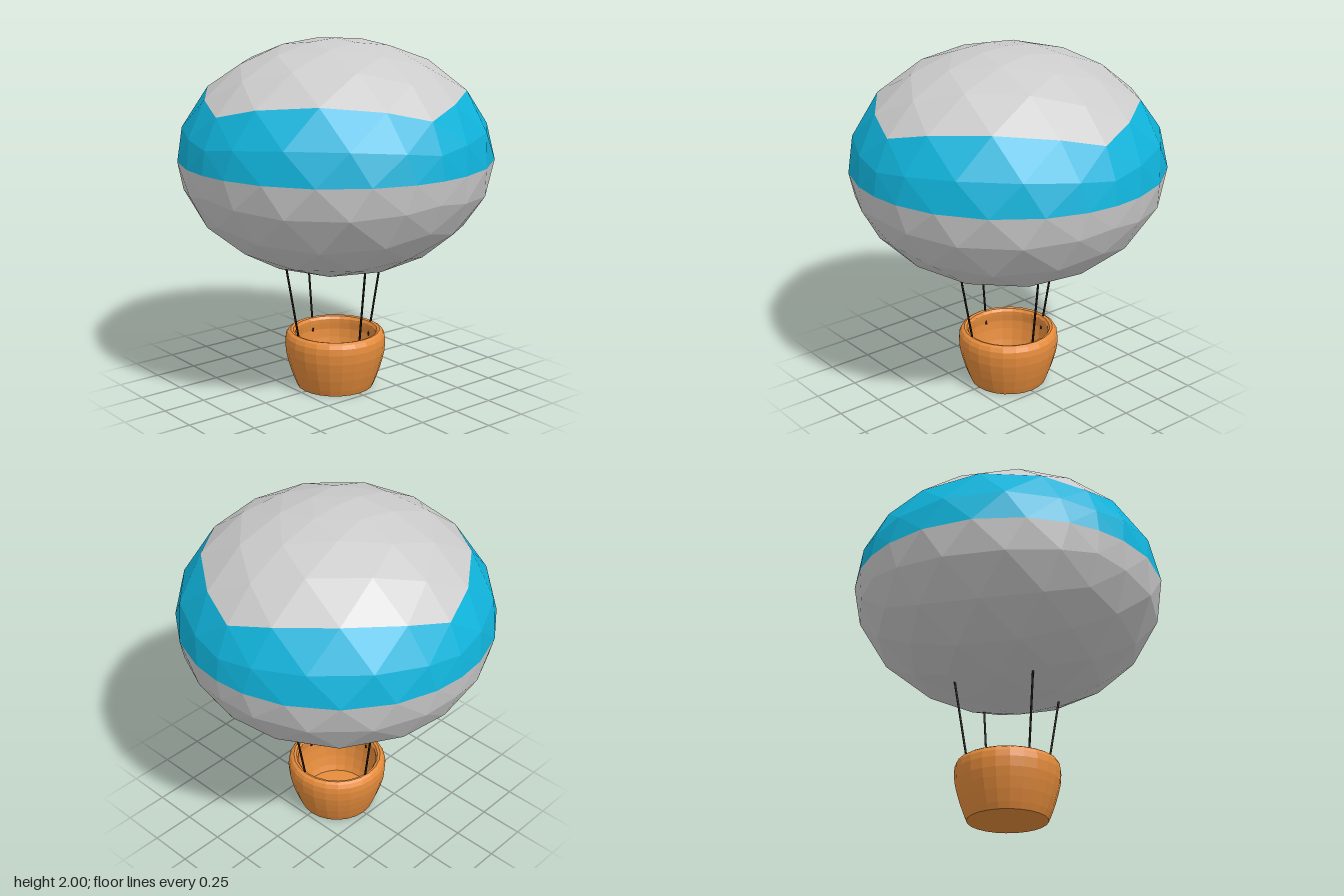
import * as THREE from 'three';

const CENTER_Y = 1.345, RX = 0.88, RY = 0.655;

// Squashed, faceted octahedral sphere; keeps only the faces whose row passes the test
function envelopePart(name, color, keep) {
  const p = new THREE.OctahedronGeometry(1, 5).getAttribute('position');
  const out = [];
  const v = [0, 1, 2].map(() => new THREE.Vector3());
  for (let i = 0; i < p.count; i += 3) {
    // height on the flat octahedron tells the row of the face
    let row = 0;
    v.forEach((a, k) => {
      a.fromBufferAttribute(p, i + k);
      row += a.y / (Math.abs(a.x) + Math.abs(a.y) + Math.abs(a.z)) / 3;
    });
    if (keep(row)) v.forEach(a => out.push(a.x * RX, a.y * RY, a.z * RX));
  }
  const g = new THREE.BufferGeometry();
  g.setAttribute('position', new THREE.Float32BufferAttribute(out, 3));
  g.computeVertexNormals();
  const mesh = new THREE.Mesh(g, new THREE.MeshStandardMaterial({ color, flatShading: true }));
  mesh.name = name;
  mesh.position.y = CENTER_Y;
  return mesh;
}

// Straight thin rope between two points
function rope(a, b, material) {
  const mesh = new THREE.Mesh(new THREE.CylinderGeometry(0.006, 0.006, a.distanceTo(b), 8), material);
  mesh.position.lerpVectors(a, b, 0.5);
  mesh.quaternion.setFromUnitVectors(new THREE.Vector3(0, 1, 0), b.clone().sub(a).normalize());
  return mesh;
}

export function createModel() {
  const model = new THREE.Group();
  model.name = 'hotAirBalloon';

  // Balloon envelope: grey skin with a coloured band above the equator
  const inBand = row => row > 0 && row < 1 / 3;
  model.add(envelopePart('envelope', 0xcccccc, row => !inBand(row)));
  model.add(envelopePart('envelopeBand', 0x10b4dc, inBand));

  const gondola = new THREE.Group();
  gondola.name = 'gondola';
  gondola.position.x = -0.005;
  model.add(gondola);

  // Basket: outside, rounded rim, inside wall and floor
  const profile = [
    [0, 0], [0.22, 0], [0.235, 0.035], [0.258, 0.1], [0.275, 0.16], [0.286, 0.21],
    [0.29, 0.265], [0.286, 0.3], [0.274, 0.322], [0.257, 0.332], [0.242, 0.328],
    [0.232, 0.312], [0.233, 0.29], [0.238, 0.25], [0.234, 0.2], [0.222, 0.13],
    [0.205, 0.07], [0.19, 0.035], [0, 0.035],
  ].map(([r, y]) => new THREE.Vector2(r, y));
  const basket = new THREE.Mesh(
    new THREE.LatheGeometry(profile, 24),
    new THREE.MeshStandardMaterial({ color: 0xe58c3c, flatShading: true }));
  basket.name = 'basket';
  gondola.add(basket);

  // Four ropes with a slight twist
  const ropeMaterial = new THREE.MeshStandardMaterial({ color: 0x1c1210 });
  const up = new THREE.Vector3(0, 1, 0);
  for (let i = 0; i < 4; i++) {
    const turn = v => v.applyAxisAngle(up, i * Math.PI / 2);
    const r = rope(
      turn(new THREE.Vector3(0.234, 0.245, 0.019)),
      turn(new THREE.Vector3(0.32, 0.77, 0.042)), ropeMaterial);
    r.name = 'rope' + (i + 1);
    gondola.add(r);
  }
  return model;
}
